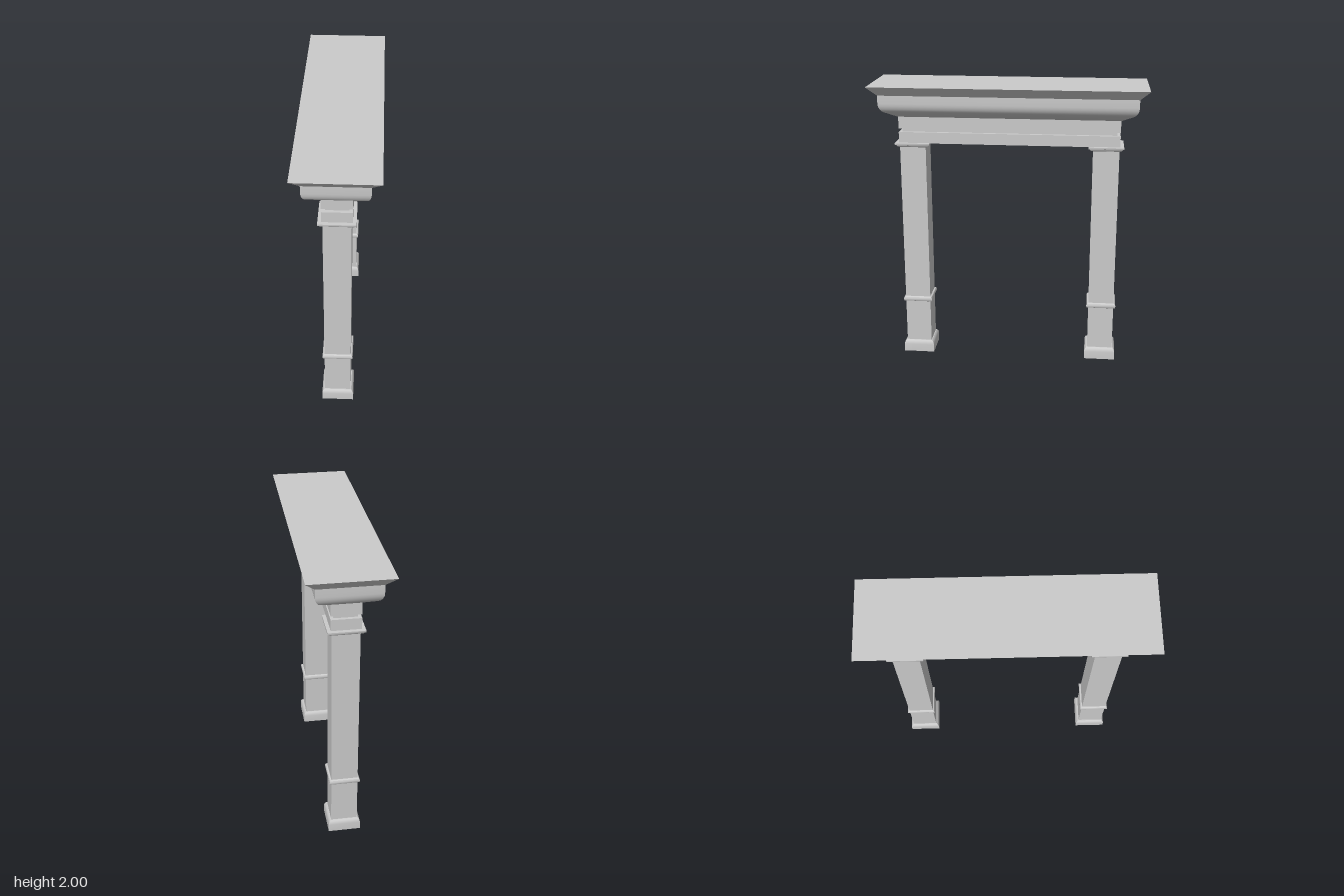
import * as THREE from 'three';
import { toCreasedNormals } from 'three/addons/utils/BufferGeometryUtils.js';

const material = new THREE.MeshStandardMaterial({ color: 0xcccccc });

// Mitred rectangular moulding: profile of [half width, y] from bottom to top;
// the half depth in z is the half width plus extraZ.
function moulding(name, profile, extraZ = 0) {
  const signs = [[1, 1], [1, -1], [-1, -1], [-1, 1]];
  const rings = profile.map(([w, y]) => signs.map(([sx, sz]) => [sx * w, y, sz * (w + extraZ)]));
  const positions = [];
  const quad = (a, b, c, d) => positions.push(...a, ...b, ...c, ...a, ...c, ...d);

  for (let i = 0; i < rings.length - 1; i++) {
    const lower = rings[i], upper = rings[i + 1];
    for (let s = 0; s < 4; s++) {
      const t = (s + 1) % 4;
      quad(lower[s], lower[t], upper[t], upper[s]);
    }
  }
  const [a, b, c, d] = rings[0];
  quad(d, c, b, a);
  quad(...rings[rings.length - 1]);

  const geometry = new THREE.BufferGeometry();
  geometry.setAttribute('position', new THREE.Float32BufferAttribute(positions, 3));
  const mesh = new THREE.Mesh(toCreasedNormals(geometry, 0.6), material);
  mesh.name = name;
  return mesh;
}

// Square post with plinth, band and capital
function createPost(name, z) {
  const post = new THREE.Group();
  post.name = name;
  post.position.z = z;
  post.add(
    moulding('plinth', [[0.11, 0], [0.11, 0.055], [0.108, 0.068], [0.103, 0.079], [0.095, 0.087]]),
    moulding('shaft', [[0.09, 0.08], [0.09, 1.575]]),
    moulding('band', [[0.09, 0.398], [0.1, 0.403], [0.104, 0.412], [0.104, 0.422], [0.1, 0.432], [0.092, 0.437]]),
    moulding('capital', [[0.09, 1.558], [0.105, 1.564], [0.113, 1.576], [0.12, 1.578], [0.12, 1.59]])
  );
  return post;
}

export function createModel() {
  const model = new THREE.Group();
  model.name = 'porticoFrame';

  const span = 0.667; // distance of each post from the centre
  model.add(createPost('frontPost', span), createPost('backPost', -span));

  // Beam with a recessed groove running all the way round
  model.add(moulding('grooveBeam', [
    [0.097, 1.588], [0.097, 1.665], [0.074, 1.665],
    [0.074, 1.69], [0.097, 1.69], [0.097, 1.775]
  ], 0.664));

  // Cornice with a rounded underside and flared top
  model.add(moulding('cornice', [
    [0.097, 1.772], [0.172, 1.815], [0.187, 1.826], [0.198, 1.842],
    [0.205, 1.862], [0.207, 1.88], [0.207, 1.935], [0.271, 2]
  ], 0.667));

  return model;
}
